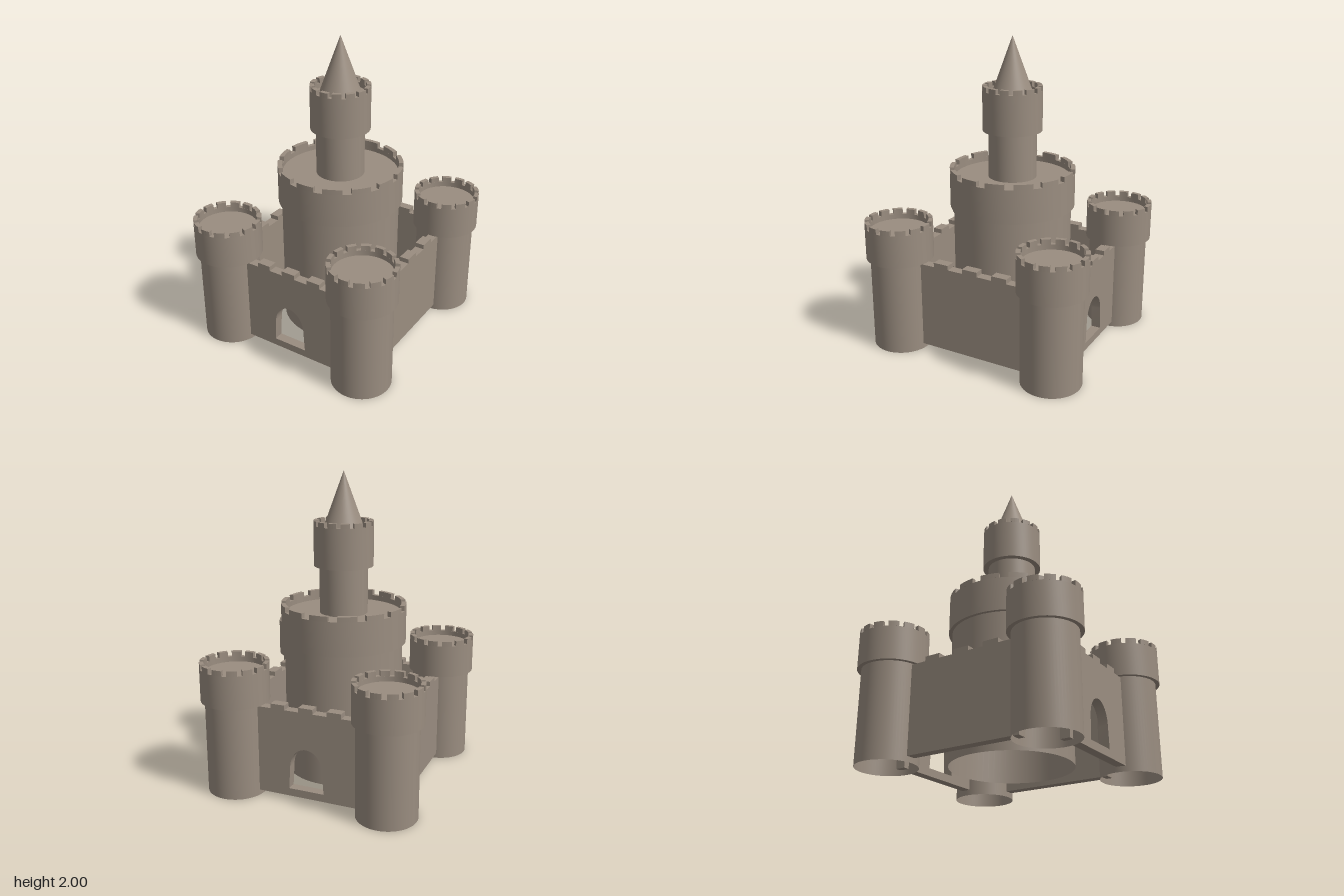
import * as THREE from 'three';
import { mergeGeometries, toCreasedNormals } from 'three/addons/utils/BufferGeometryUtils.js';

const stone = new THREE.MeshStandardMaterial({ color: 0x9a8d80, side: THREE.DoubleSide });
stone.name = 'stone';

function addMesh(parent, name, geometry) {
  const mesh = new THREE.Mesh(geometry, stone);
  mesh.name = name;
  parent.add(mesh);
  return mesh;
}

// Ring of merlons separated by narrow gaps, one merlon facing the front
function merlonRing(inner, outer, bottom, top, count = 14, gap = 0.145) {
  const pitch = (Math.PI * 2) / count;
  const pieces = [];
  for (let i = 0; i < count; i++) {
    const mid = Math.PI / 2 + i * pitch;
    const a = mid - (pitch - gap) / 2;
    const b = mid + (pitch - gap) / 2;
    const shape = new THREE.Shape();
    shape.absarc(0, 0, outer, a, b, false);
    shape.absarc(0, 0, inner, b, a, true);
    const piece = new THREE.ExtrudeGeometry(shape, { depth: top - bottom, bevelEnabled: false, curveSegments: 5 });
    piece.rotateX(-Math.PI / 2);
    piece.translate(0, bottom, 0);
    pieces.push(piece);
  }
  return toCreasedNormals(mergeGeometries(pieces), 0.6);
}

// Hollow round tower, open below, with a wider head and a sunken floor
function roundTower(name, t) {
  const group = new THREE.Group();
  group.name = name;
  const profile = [
    [t.radius, t.base], [t.radius, t.headBase], [t.headRadius, t.headBase],
    [t.headRadius, t.notch], [t.inner, t.notch], [t.inner, t.floor], [0, t.floor],
  ].map(([x, y]) => new THREE.Vector2(x, y));
  addMesh(group, name + 'Body', toCreasedNormals(new THREE.LatheGeometry(profile, 64), 0.6));
  addMesh(group, name + 'Merlons', merlonRing(t.inner, t.headRadius, t.notch, t.top));
  return group;
}

// Curtain wall along x, optionally pierced by an arched gate
function curtainWall(name, halfLength, pitch, hasGate) {
  const group = new THREE.Group();
  group.name = name;
  const bottom = 0.035, top = 0.6, thickness = 0.062;
  const shape = new THREE.Shape();
  shape.moveTo(-halfLength, bottom);
  shape.lineTo(halfLength, bottom);
  shape.lineTo(halfLength, top);
  shape.lineTo(-halfLength, top);
  shape.closePath();
  if (hasGate) {
    const gate = new THREE.Path();
    gate.moveTo(-0.117, 0.085);
    gate.lineTo(0.117, 0.085);
    gate.lineTo(0.108, 0.225);
    gate.absellipse(0, 0.225, 0.108, 0.135, 0, Math.PI, false, 0);
    gate.closePath();
    shape.holes.push(gate);
  }
  const wall = new THREE.ExtrudeGeometry(shape, { depth: thickness, bevelEnabled: false, curveSegments: 20 });
  wall.translate(0, 0, -thickness / 2);
  addMesh(group, name + 'Panel', toCreasedNormals(wall, 0.6));
  for (let i = -1; i <= 1; i++) {
    const merlon = addMesh(group, name + 'Merlon', new THREE.BoxGeometry(pitch / 2, 0.03, thickness));
    merlon.position.set(i * pitch, top + 0.015, 0);
  }
  return group;
}

export function createModel() {
  const model = new THREE.Group();
  model.name = 'castle';

  // Corner towers
  for (const sx of [-1, 1]) {
    for (const sz of [-1, 1]) {
      const tower = roundTower('cornerTower', {
        base: 0, radius: 0.192, headBase: 0.607, headRadius: 0.218,
        inner: 0.19, floor: 0.79, notch: 0.823, top: 0.857,
      });
      tower.position.set(sx * 0.51, 0, sz * 0.55);
      model.add(tower);
    }
  }

  // Gated walls at front and back, plain walls at the sides
  for (const s of [-1, 1]) {
    const gateWall = curtainWall('gateWall', 0.36, 0.188, true);
    gateWall.position.z = s * 0.572;
    model.add(gateWall);
    const sideWall = curtainWall('sideWall', 0.4, 0.209, false);
    sideWall.rotation.y = Math.PI / 2;
    sideWall.position.x = s * 0.52;
    model.add(sideWall);
  }

  // Central keep, upper turret and spire
  model.add(roundTower('keep', {
    base: 0.035, radius: 0.385, headBase: 0.905, headRadius: 0.407,
    inner: 0.378, floor: 1.093, notch: 1.127, top: 1.16,
  }));
  model.add(roundTower('turret', {
    base: 1.093, radius: 0.156, headBase: 1.4, headRadius: 0.192,
    inner: 0.163, floor: 1.63, notch: 1.66, top: 1.69,
  }));
  const spire = addMesh(model, 'spire', new THREE.ConeGeometry(0.135, 0.37, 64, 1, true));
  spire.position.y = 1.815;

  return model;
}
